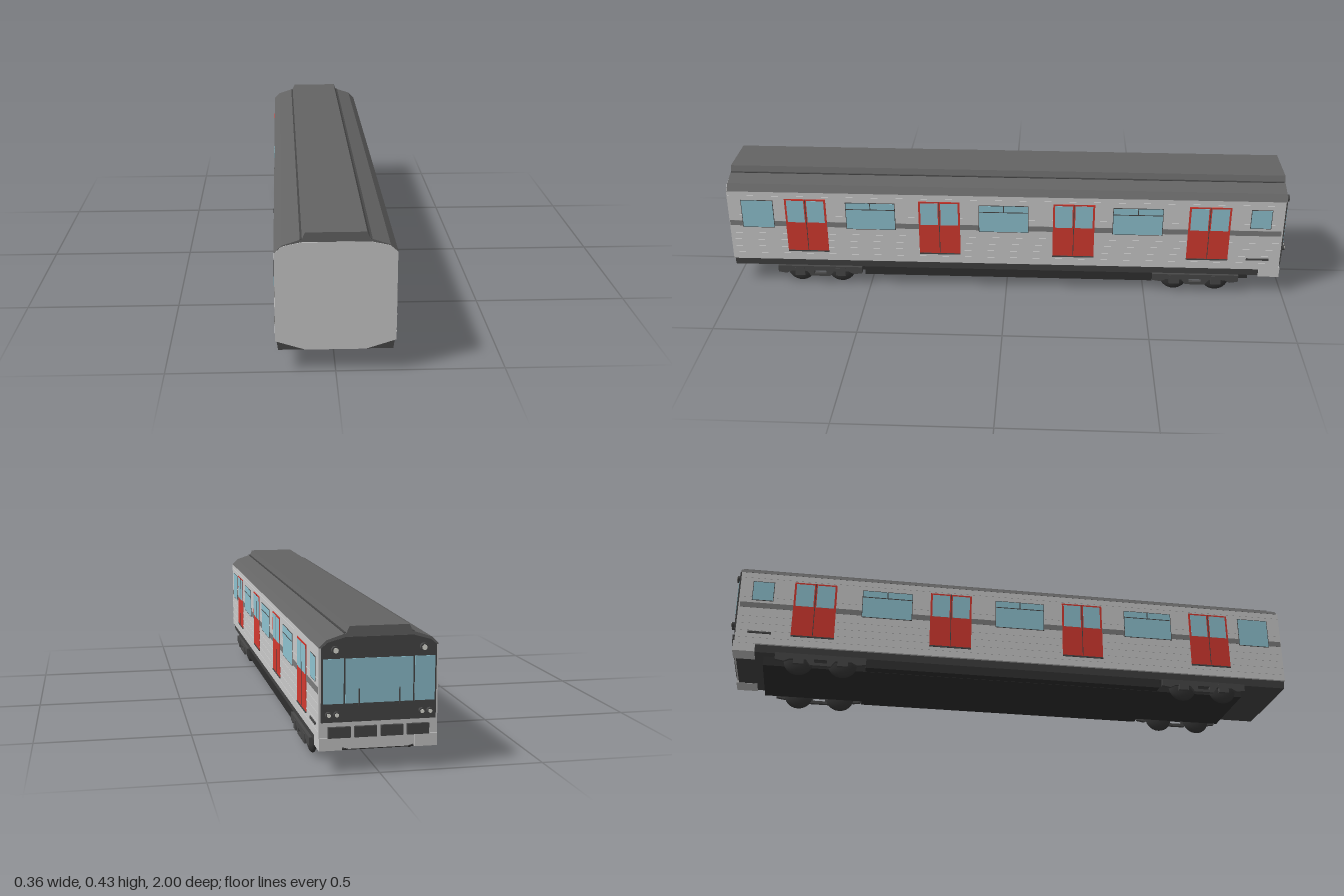
import * as THREE from 'three';

const mat = (color) => new THREE.MeshStandardMaterial({ color, flatShading: true });
const M = {
  body: mat(0xcccccc), roof: mat(0x646464), belt: mat(0x7c7c7c), dark: mat(0x484848),
  floor: mat(0x303030), red: mat(0xd63a30), glass: mat(0x90c4d2), lamp: mat(0xe4e4dc),
};
const tyre = new THREE.MeshStandardMaterial({ color: 0x383838 });

function add(parent, name, geo, material, x = 0, y = 0, z = 0) {
  const mesh = new THREE.Mesh(geo, material);
  mesh.name = name;
  mesh.position.set(x, y, z);
  parent.add(mesh);
  return mesh;
}

// box given by its limits on each axis
function block(parent, name, material, x0, x1, y0, y1, z0, z1) {
  return add(parent, name, new THREE.BoxGeometry(x1 - x0, y1 - y0, z1 - z0), material,
    (x0 + x1) / 2, (y0 + y1) / 2, (z0 + z1) / 2);
}

// symmetric cross-section (right half, bottom to top) swept along z
function sweep(parent, name, material, half, z0, z1) {
  const left = half.map(([x, y]) => [-x, y]).reverse();
  const shape = new THREE.Shape([...half, ...left].map(([x, y]) => new THREE.Vector2(x, y)));
  const geo = new THREE.ExtrudeGeometry(shape, { depth: z1 - z0, bevelEnabled: false });
  return add(parent, name, geo, material, 0, 0, z0);
}

const WALL = 0.1765;

// thin panel on the side wall, raised by t
function panel(parent, name, material, s, z0, z1, y0, y1, t) {
  const a = s * (WALL - 0.004), b = s * (WALL + t);
  return block(parent, name, material, Math.min(a, b), Math.max(a, b), y0, y1, z0, z1);
}

function addDoor(parent, s, zc) {
  const door = new THREE.Group();
  door.name = 'door';
  panel(door, 'doorLeaves', M.red, s, zc - 0.074, zc + 0.074, 0.137, 0.344, 0.0018);
  panel(door, 'doorSill', M.dark, s, zc - 0.074, zc + 0.074, 0.133, 0.138, 0.003);
  for (const k of [-1, 1])
    panel(door, 'doorGlass', M.glass, s, zc + k * 0.036 - 0.031, zc + k * 0.036 + 0.031, 0.252, 0.338, 0.0026);
  panel(door, 'doorSeam', M.dark, s, zc - 0.0012, zc + 0.0012, 0.14, 0.344, 0.0024);
  parent.add(door);
}

function addWindow(parent, s, z0, z1, y0, y1, vented) {
  const win = new THREE.Group();
  win.name = 'window';
  panel(win, 'windowFrame', M.dark, s, z0 - 0.002, z1 + 0.002, y0 - 0.002, y1 + 0.002, 0.0014);
  panel(win, 'windowGlass', M.glass, s, z0, z1, y0, y1, 0.0018);
  if (vented) {
    const zc = (z0 + z1) / 2;
    panel(win, 'windowTransom', M.dark, s, z0, z1, 0.306, 0.309, 0.0024);
    panel(win, 'windowPost', M.dark, s, zc - 0.0015, zc + 0.0015, 0.306, y1, 0.0024);
  }
  parent.add(win);
}

function addSide(parent, s) {
  const side = new THREE.Group();
  side.name = s > 0 ? 'leftSide' : 'rightSide';
  panel(side, 'beltStripe', M.belt, s, -0.975, 0.998, 0.234, 0.254, 0.0008);
  for (const y of [0.12, 0.147, 0.174, 0.201, 0.275, 0.35])
    panel(side, 'wallRib', M.body, s, -0.975, 0.998, y, y + 0.004, 0.0011);
  for (const z of [-0.72, -0.24, 0.24, 0.72]) addDoor(side, s, z);
  for (const z of [-0.467, 0.01, 0.487]) addWindow(side, s, z - 0.087, z + 0.087, 0.23, 0.332, true);
  addWindow(side, s, 0.838, 0.95, 0.23, 0.335, false);
  addWindow(side, s, -0.935, -0.865, 0.265, 0.335, false);
  panel(side, 'cabStep', M.dark, s, -0.94, -0.86, 0.136, 0.143, 0.0035);
  parent.add(side);
}

// driving cab end at -z
function addCab(parent) {
  const cab = new THREE.Group();
  cab.name = 'cabEnd';
  sweep(cab, 'cabMask', M.dark,
    [[0.17, 0.152], [0.17, 0.37], [0.152, 0.385], [0.1, 0.4]], -0.986, -0.97);
  block(cab, 'windscreen', M.glass, -0.1, 0.1, 0.207, 0.338, -0.988, -0.98);
  for (const s of [-1, 1]) {
    block(cab, 'sideScreen', M.glass, s * 0.135 - 0.03, s * 0.135 + 0.03, 0.207, 0.338, -0.988, -0.98);
    block(cab, 'wiper', M.dark, s * 0.06 - 0.0015, s * 0.06 + 0.0015, 0.2, 0.25, -0.992, -0.985);
    const lamps = [[0.13, 0.364, 0.012], [0.15, 0.176, 0.009], [0.126, 0.176, 0.009]];
    for (const [x, y, r] of lamps) {
      const rim = new THREE.CylinderGeometry(r, r, 0.014, 16).rotateX(Math.PI / 2);
      add(cab, 'lampRim', rim, M.dark, s * x, y, -0.99);
      const lens = new THREE.CylinderGeometry(r * 0.65, r * 0.65, 0.016, 16).rotateX(Math.PI / 2);
      add(cab, 'lampLens', lens, M.lamp, s * x, y, -0.991);
    }
    block(cab, 'cornerSkirt', M.body, s * 0.142 - 0.034, s * 0.142 + 0.034, 0.068, 0.105, -0.984, -0.91);
  }
  // equipment boxes under the mask
  for (const x of [-0.117, -0.039, 0.039, 0.117])
    block(cab, 'bufferBox', M.dark, x - 0.033, x + 0.033, 0.106, 0.138, -0.99, -0.97);
  parent.add(cab);
}

function addBogie(parent, zc) {
  const bogie = new THREE.Group();
  bogie.name = 'bogie';
  bogie.position.z = zc;
  // side frame outline with arches over both wheels
  const pts = [[-0.155, 0.07], [-0.155, 0.045], [-0.125, 0.04], [-0.105, 0.05], [-0.05, 0.05], [-0.035, 0.03],
    [0.035, 0.03], [0.05, 0.05], [0.105, 0.05], [0.125, 0.04], [0.155, 0.045], [0.155, 0.07]];
  const shape = new THREE.Shape(pts.map(([z, y]) => new THREE.Vector2(z, y)));
  const slot = [[-0.022, 0.04], [-0.022, 0.052], [0.022, 0.052], [0.022, 0.04]];
  shape.holes.push(new THREE.Path(slot.map(([z, y]) => new THREE.Vector2(z, y))));
  const frame = new THREE.ExtrudeGeometry(shape, { depth: 0.012, bevelEnabled: false })
    .rotateY(-Math.PI / 2).translate(0.006, 0, 0);
  // rounded wheel profile
  const profile = [];
  for (let i = 0; i <= 12; i++) {
    const a = -Math.PI / 2 + (Math.PI * i) / 12;
    profile.push(new THREE.Vector2(Math.cos(a) * 0.05, Math.sin(a) * 0.016));
  }
  const wheel = new THREE.LatheGeometry(profile, 28).rotateZ(Math.PI / 2);
  for (const s of [-1, 1]) {
    add(bogie, 'sideFrame', frame, M.dark, s * 0.172);
    for (const z of [-0.075, 0.075]) {
      add(bogie, 'wheel', wheel, tyre, s * 0.153, 0.05, z);
      block(bogie, 'axleBox', M.dark, s * 0.174 - 0.006, s * 0.174 + 0.006, 0.033, 0.064, z - 0.018, z + 0.018);
    }
  }
  for (const z of [-0.075, 0.075])
    add(bogie, 'axle', new THREE.CylinderGeometry(0.009, 0.009, 0.3, 12).rotateZ(Math.PI / 2), M.dark, 0, 0.05, z);
  parent.add(bogie);
}

export function createModel() {
  const car = new THREE.Group();
  car.name = 'railCar';

  // body shell and roof
  sweep(car, 'bodyShell', M.body,
    [[0.088, 0.07], [WALL, 0.098], [WALL, 0.37], [0.154, 0.39], [0.098, 0.402]], -0.98, 1);
  sweep(car, 'roof', M.roof,
    [[0.1775, 0.37], [0.155, 0.392], [0.097, 0.411], [0.088, 0.431]], -0.984, 0.998);
  for (const s of [-1, 1])
    block(car, 'roofGutter', M.dark, s * 0.1 - 0.003, s * 0.1 + 0.003, 0.405, 0.412, -0.98, 0.997);

  addSide(car, 1);
  addSide(car, -1);
  addCab(car);

  // underframe and floor
  sweep(car, 'underframe', M.dark, [[0.168, 0.0695], [0.172, 0.096]], -0.975, 0.997);
  block(car, 'floorPan', M.floor, -0.136, 0.136, 0.037, 0.07, -0.88, 0.84);
  block(car, 'equipmentSkirt', M.floor, -0.17, 0.17, 0.038, 0.07, -0.53, 0.52);

  addBogie(car, 0.685);
  addBogie(car, -0.685);
  return car;
}
